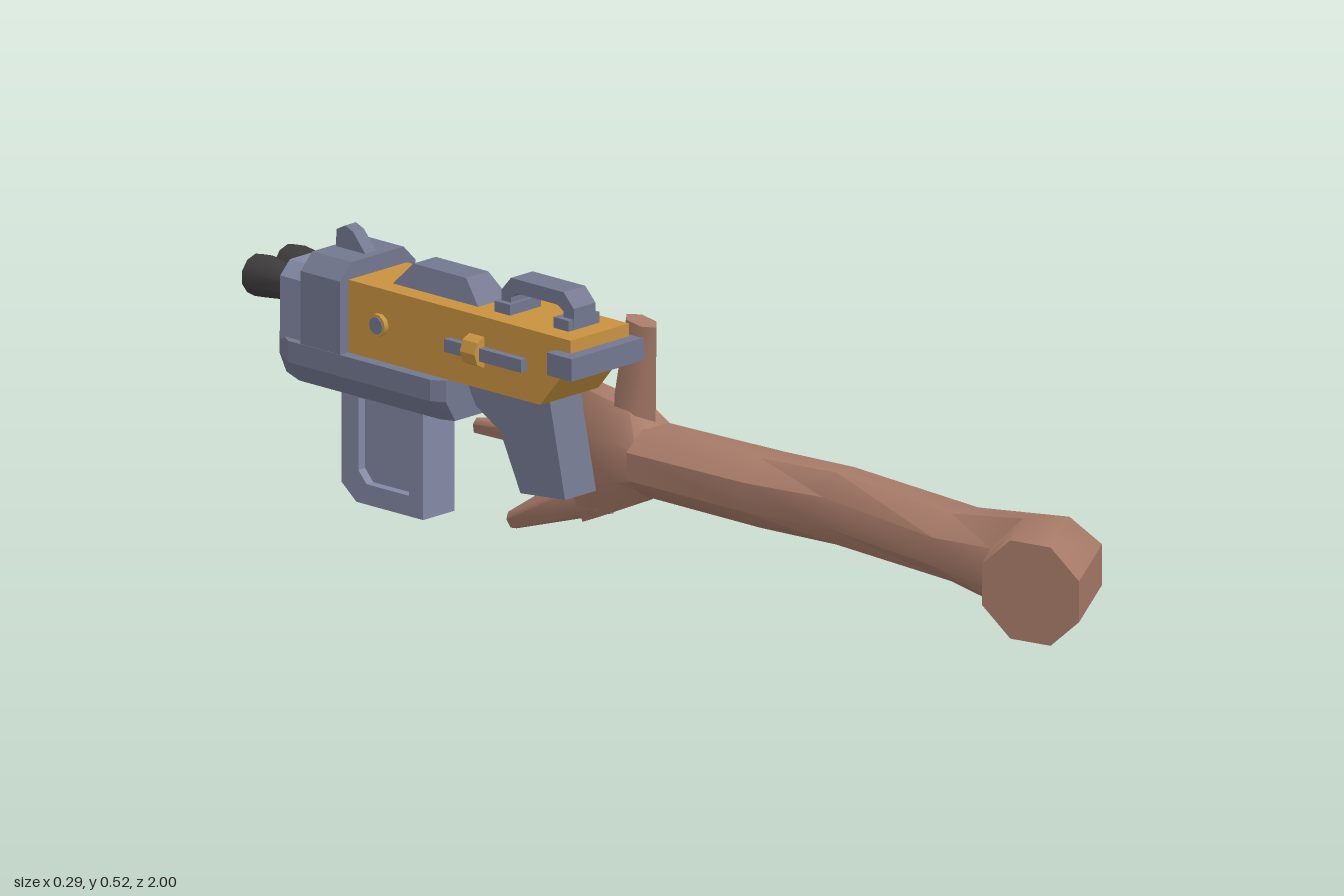
import * as THREE from 'three';
import { toCreasedNormals } from 'three/addons/utils/BufferGeometryUtils.js';

const mat = (name, color) => Object.assign(new THREE.MeshStandardMaterial({ color }), { name });

export function createModel() {
  const skin = mat('skin', 0xa87b69);
  const orange = mat('orange casing', 0xc8923f);
  const grey = mat('blue grey metal', 0x73778f);
  const pale = mat('pale grey metal', 0x8388a4);
  const black = mat('dark barrel', 0x3e3c3d);
  const model = new THREE.Group();
  const gun = new THREE.Group();
  const arm = new THREE.Group();
  gun.name = 'blaster';
  arm.name = 'arm';
  model.add(gun, arm);
  const CX = -0.043; // middle of the blaster across x

  function add(parent, name, geo, material) {
    const mesh = new THREE.Mesh(geo, material);
    mesh.name = name;
    parent.add(mesh);
    return mesh;
  }
  const shapeOf = (pts) => new THREE.Shape(pts.map(([a, b]) => new THREE.Vector2(a, b)));
  const extrude = (shape, depth, steps = 1) =>
    new THREE.ExtrudeGeometry(shape, { depth, steps, bevelEnabled: false, curveSegments: 8 });

  // Side profile in (-z, y), given a width across x
  function side(name, pts, width, material, x = CX, hole) {
    const shape = shapeOf(pts);
    if (hole) shape.holes.push(new THREE.Path(hole.map(([a, b]) => new THREE.Vector2(a, b))));
    const geo = extrude(shape, width).translate(0, 0, -width / 2).rotateY(Math.PI / 2).translate(x, 0, 0);
    return add(gun, name, geo, material);
  }
  function box(name, x, y, z, w, h, d, material) {
    return add(gun, name, new THREE.BoxGeometry(w, h, d).translate(x, y, z), material);
  }
  // Front profile in (x, y) from CX, running from z0 to z1
  function section(name, pts, z0, z1, material) {
    return add(gun, name, extrude(shapeOf(pts), z1 - z0).translate(CX, 0, z0), material);
  }
  // Skin over rings: [inner x, inner z, outer x, outer z, low y, high y]
  function loft(name, rings) {
    const n = 8, pos = [], idx = [];
    for (const [px, pz, qx, qz, y0, y1] of rings) {
      for (let j = 0; j < n; j++) {
        const a = ((j + 0.5) / n) * Math.PI * 2, k = 1 / Math.cos(Math.PI / n);
        const t = 0.5 + 0.5 * k * Math.cos(a);
        pos.push(px + (qx - px) * t, (y0 + y1) / 2 + ((y1 - y0) / 2) * k * Math.sin(a), pz + (qz - pz) * t);
      }
    }
    for (let i = 0; i < rings.length - 1; i++) {
      for (let j = 0; j < n; j++) {
        const a = i * n + j, b = i * n + ((j + 1) % n);
        idx.push(a, a + n, b, b, a + n, b + n);
      }
    }
    const last = (rings.length - 1) * n;
    for (let j = 1; j < n - 1; j++) {
      idx.push(0, j, j + 1, last, last + j + 1, last + j);
    }
    const geo = new THREE.BufferGeometry();
    geo.setAttribute('position', new THREE.Float32BufferAttribute(pos, 3));
    geo.setIndex(idx);
    return add(arm, name, toCreasedNormals(geo, 0.8), skin);
  }
  // Tapered digit between two points
  function digit(name, from, to, r0, r1, flat = 1) {
    const a = new THREE.Vector3(...from), b = new THREE.Vector3(...to);
    const dir = b.clone().sub(a);
    const geo = new THREE.CylinderGeometry(r1, r0, dir.length(), 6).scale(flat, 1, 1);
    const mesh = add(arm, name, toCreasedNormals(geo, 1.1), skin);
    mesh.position.copy(a).add(b).multiplyScalar(0.5);
    mesh.quaternion.setFromUnitVectors(new THREE.Vector3(0, 1, 0), dir.normalize());
  }

  // Main casing and rear bar
  side('casing', [[0.19, 0.445], [0.19, 0.4], [0.265, 0.31], [0.76, 0.31], [0.76, 0.445]], 0.15, orange);
  box('rearBar', -0.047, 0.4, -0.195, 0.19, 0.042, 0.06, grey);

  // Lower housing: plan outline with the bottom edge drawn in
  const plan = shapeOf([[-0.095, 0.515], [-0.08, 0.49], [0.08, 0.49], [0.095, 0.515],
    [0.095, 0.865], [0.06, 0.92], [-0.06, 0.92], [-0.095, 0.865]]);
  const lower = extrude(plan, 0.08, 2).rotateX(-Math.PI / 2);
  const p = lower.attributes.position;
  for (let i = 0; i < p.count; i++) {
    if (p.getY(i) < 0.01) p.setX(i, p.getX(i) * 0.7);
  }
  lower.translate(CX - 0.003, 0.23, 0);
  lower.computeVertexNormals();
  add(gun, 'lowerHousing', lower, grey);

  // Front band and nose block
  const chamfered = (w, top, c) => [[-w, 0.305], [w, 0.305], [w, top - c], [w - c, top], [-w + c, top], [-w, top - c]];
  section('frontBand', chamfered(0.097, 0.476, 0.03), -0.835, -0.738, grey);
  section('noseBlock', chamfered(0.082, 0.446, 0.025), -0.9, -0.83, pale);
  side('frontSight', [[0.75, 0.47], [0.785, 0.511], [0.805, 0.519], [0.826, 0.508], [0.828, 0.47]], 0.028, grey);

  // Twin flared barrels with open bores
  const barrel = [[0.027, 0.87], [0.03, 0.9], [0.04, 0.98], [0.037, 1], [0.021, 1], [0.02, 0.95], [0, 0.95]];
  for (const x of [-0.084, 0.0]) {
    const geo = new THREE.LatheGeometry(barrel.map(([r, z]) => new THREE.Vector2(r, z)), 10).rotateX(-Math.PI / 2);
    add(gun, 'barrel', toCreasedNormals(geo, 0.7), black).position.set(x, 0.395, 0);
  }

  // Carry handle on two pads
  side('carryHandle', [[0.23, 0.45], [0.23, 0.485], [0.255, 0.511], [0.385, 0.511], [0.408, 0.485], [0.408, 0.45],
    [0.385, 0.45], [0.385, 0.475], [0.37, 0.485], [0.27, 0.485], [0.255, 0.475], [0.255, 0.45]], 0.056, grey, -0.04);
  for (const z of [-0.25, -0.395]) box('handlePad', -0.04, 0.453, z, 0.08, 0.024, 0.038, grey);

  // Top hump with sloping sides
  const hump = side('topHump', [[0.45, 0.44], [0.67, 0.44], [0.625, 0.488], [0.495, 0.488]], 0.082, grey, 0);
  const h = hump.geometry.attributes.position;
  for (let i = 0; i < h.count; i++) {
    if (h.getY(i) > 0.47) h.setX(i, h.getX(i) * 0.7);
  }
  hump.geometry.computeVertexNormals();
  hump.position.x = -0.04;

  // Side bolts, collars and studs on both sides
  for (const s of [-1, 1]) {
    const x = -0.04 + s * 0.08;
    box('sideBolt', x, 0.378, -0.393, 0.026, 0.024, 0.19, grey);
    const collar = new THREE.CylinderGeometry(0.029, 0.029, 0.036, 8).rotateX(Math.PI / 2).scale(0.85, 1, 1);
    add(gun, 'boltCollar', toCreasedNormals(collar, 0.5), orange).position.set(x, 0.38, -0.42);
    const ring = new THREE.CylinderGeometry(0.021, 0.021, 0.016, 10).rotateZ(Math.PI / 2);
    add(gun, 'studRing', ring, orange).position.set(x, 0.378, -0.66);
    const stud = new THREE.CylinderGeometry(0.016, 0.016, 0.02, 10).rotateZ(Math.PI / 2);
    add(gun, 'stud', stud, grey).position.set(x, 0.378, -0.66);
  }

  // Magazine with recessed side panels
  side('magazine', [[0.59, 0.245], [0.59, 0.02], [0.755, 0.02], [0.792, 0.05], [0.792, 0.245]], 0.08, pale, -0.04,
    [[0.625, 0.215], [0.75, 0.215], [0.75, 0.08], [0.73, 0.058], [0.625, 0.058]]);
  box('magazinePanel', -0.04, 0.137, -0.687, 0.045, 0.17, 0.14, pale);

  // Grip inside the hand
  side('grip', [[0.28, 0.315], [0.24, 0.13], [0.35, 0.12], [0.4, 0.225], [0.46, 0.26], [0.49, 0.315]], 0.08, grey, -0.04);

  // Bent elbow and forearm
  loft('forearm', [
    [-0.092, 0.8, -0.05, 1.0, 0.1, 0.283],
    [-0.012, 0.745, 0.145, 0.87, 0.1, 0.283],
    [-0.01, 0.6, 0.136, 0.62, 0.13, 0.256],
    [0.022, 0.3, 0.135, 0.3, 0.13, 0.264],
    [-0.004, 0.13, 0.135, 0.13, 0.13, 0.26],
    [-0.005, -0.16, 0.133, -0.16, 0.13, 0.255],
  ]);
  // Palm
  loft('palm', [
    [0.0, -0.14, 0.133, -0.14, 0.13, 0.25],
    [0.005, -0.2, 0.135, -0.2, 0.1, 0.28],
    [0.015, -0.32, 0.13, -0.32, 0.045, 0.295],
    [0.045, -0.365, 0.118, -0.365, 0.1, 0.28],
  ]);
  // Thumb and three fingers
  digit('thumb', [0.07, 0.24, -0.215], [0.06, 0.445, -0.185], 0.055, 0.037, 0.6);
  digit('upperFinger', [0.085, 0.235, -0.31], [0.05, 0.333, -0.525], 0.05, 0.015);
  digit('middleFinger', [0.08, 0.185, -0.33], [0.045, 0.172, -0.575], 0.04, 0.016);
  digit('lowerFinger', [0.075, 0.105, -0.3], [0.04, 0.016, -0.485], 0.05, 0.017);

  return model;
}
